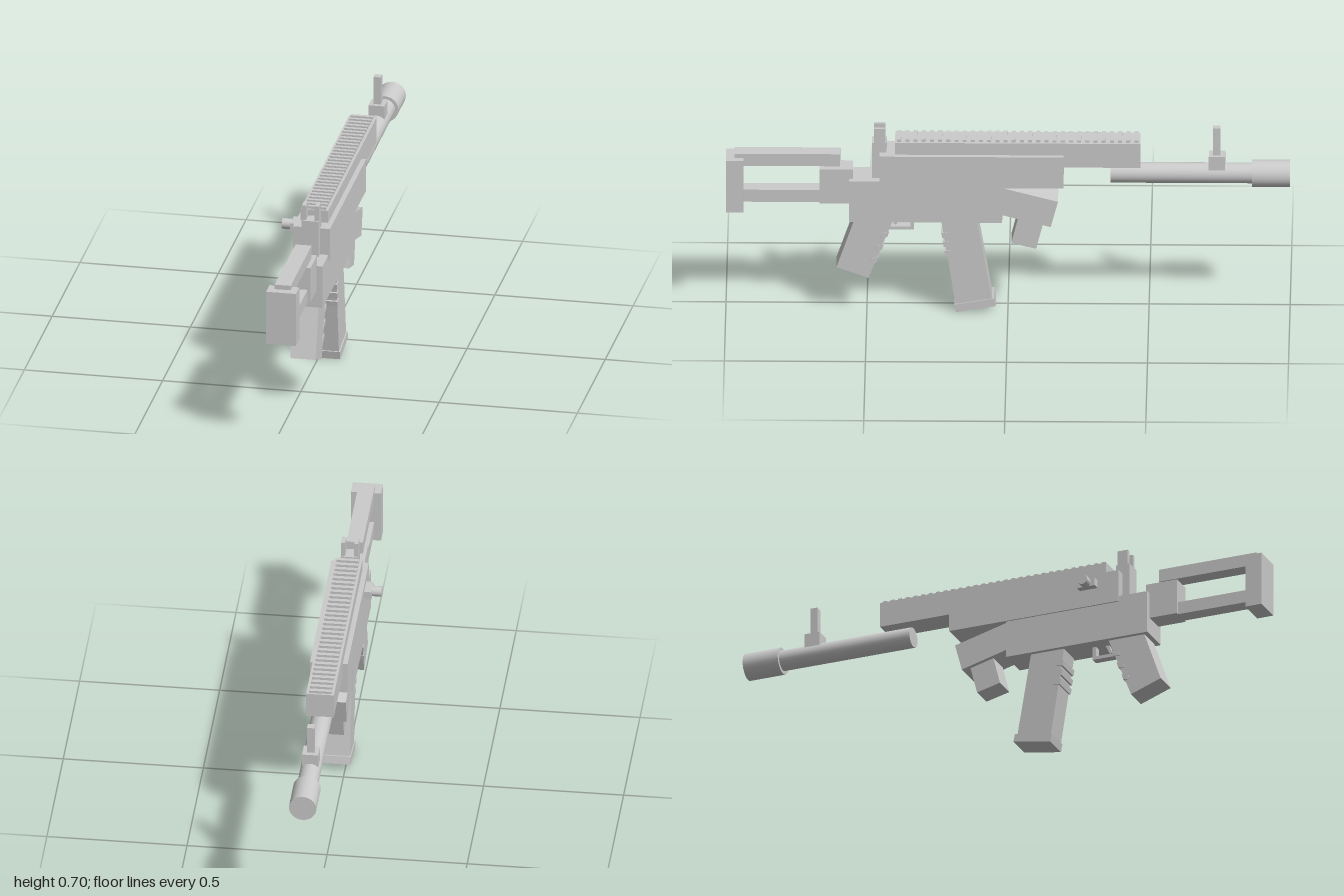
import * as THREE from 'three';

const CX = 0.029; // centre plane of the body

export function createModel() {
  const root = new THREE.Group();
  const mat = new THREE.MeshStandardMaterial({ color: 0xcccccc });

  const add = (name, geo, parent = root) => {
    const m = new THREE.Mesh(geo, mat);
    m.name = name;
    parent.add(m);
    return m;
  };
  const group = (name) => {
    const g = new THREE.Group();
    g.name = name;
    root.add(g);
    return g;
  };
  // Box from its limits on each axis
  const box = (name, [x0, x1], [y0, y1], [z0, z1], parent) => {
    const g = new THREE.BoxGeometry(x1 - x0, y1 - y0, z1 - z0);
    g.translate((x0 + x1) / 2, (y0 + y1) / 2, (z0 + z1) / 2);
    return add(name, g, parent);
  };
  // Side outline in (z, y), extruded across x
  const slab = (name, pts, [x0, x1], parent) => {
    const shape = new THREE.Shape(pts.map(([z, y]) => new THREE.Vector2(-z, y)));
    const g = new THREE.ExtrudeGeometry(shape, { depth: x1 - x0, bevelEnabled: false });
    g.rotateY(Math.PI / 2).translate(x0, 0, 0);
    return add(name, g, parent);
  };
  // Cylinder lying along z
  const rod = (name, r, y, z0, z1, parent) => {
    const g = new THREE.CylinderGeometry(r, r, z1 - z0, 24);
    g.rotateX(Math.PI / 2).translate(CX, y, (z0 + z1) / 2);
    return add(name, g, parent);
  };
  const wide = (w) => [CX - w / 2, CX + w / 2];

  // Receivers
  box('lowerReceiver', wide(0.123), [0.355, 0.514], [0.02, 0.563]);
  box('upperReceiver', wide(0.134), [0.493, 0.614], [-0.197, 0.455]);

  // Top rail with cross teeth
  const rail = group('topRail');
  box('railBody', wide(0.099), [0.567, 0.66], [-0.47, 0.4], rail);
  const teeth = 30, pitch = 0.87 / teeth;
  for (let i = 0; i < teeth; i++) {
    const z = -0.47 + (i + 0.25) * pitch;
    box('railTooth', wide(0.08), [0.655, 0.669], [z, z + pitch * 0.5], rail);
  }

  // Open-frame stock
  const stock = group('stock');
  box('stockConnector', wide(0.08), [0.418, 0.55], [0.55, 0.668], stock);
  box('stockLowerStrut', wide(0.058), [0.418, 0.465], [0.65, 0.95], stock);
  box('stockUpperStrut', wide(0.058), [0.558, 0.605], [0.595, 0.97], stock);
  box('buttPlate', wide(0.108), [0.388, 0.588], [0.938, 1], stock);

  // Barrel, muzzle and front sight
  const barrel = group('barrel');
  rod('barrelTube', 0.037, 0.527, -0.88, -0.363, barrel);
  rod('muzzle', 0.049, 0.526, -1, -0.865, barrel);
  box('frontSightBase', wide(0.058), [0.54, 0.601], [-0.77, -0.712], barrel);
  box('frontSightPost', wide(0.026), [0.59, 0.705], [-0.754, -0.727], barrel);

  // Rear sight: block with two prongs
  const sight = group('rearSight');
  box('rearSightBase', wide(0.062), [0.5, 0.65], [0.45, 0.482], sight);
  box('rearSightHead', wide(0.062), [0.6, 0.65], [0.43, 0.48], sight);
  for (const s of [-1, 1]) {
    const x = CX + s * 0.0235;
    box('rearSightProng', [x - 0.0075, x + 0.0075], [0.64, 0.705], [0.435, 0.475], sight);
  }

  // Sloping handguard and short foregrip
  slab('handguard', [[0.06, 0.5], [-0.178, 0.437], [-0.152, 0.338], [0.06, 0.395]], wide(0.117));
  slab('foregrip', [[-0.045, 0.4], [-0.012, 0.268], [-0.1, 0.246], [-0.134, 0.38]], wide(0.085));

  // Pistol grip with finger ridges down its front edge
  const grip = group('pistolGrip');
  slab('gripBody', [[0.54, 0.37], [0.608, 0.172], [0.494, 0.13], [0.402, 0.37]], wide(0.091), grip);
  for (const y of [0.3, 0.25, 0.2]) {
    const z = 0.402 + (0.37 - y) * 0.383;
    slab('gripRidge', [[z + 0.016, y + 0.008], [z - 0.008, y + 0.012],
      [z - 0.002, y - 0.008], [z + 0.022, y - 0.01]], wide(0.097), grip);
  }

  // Tilted magazine with base plate and rear ribs
  const mag = group('magazine');
  slab('magazineBody', [[0.24, 0.38], [0.184, 0.02], [0.055, 0.04], [0.113, 0.38]], wide(0.091), mag);
  slab('magazineBase', [[0.19, 0.03], [0.184, 0], [0.043, 0.025], [0.049, 0.054]], wide(0.099), mag);
  for (const y of [0.3, 0.265, 0.23]) {
    const z = 0.24 - (0.38 - y) * 0.156;
    slab('magazineRib', [[z + 0.009, y + 0.008], [z + 0.005, y - 0.012],
      [z - 0.02, y - 0.008], [z - 0.016, y + 0.012]], wide(0.097), mag);
  }

  // Trigger and guard
  const trigger = group('triggerGroup');
  box('guardBottom', wide(0.03), [0.306, 0.318], [0.335, 0.43], trigger);
  box('guardFront', wide(0.03), [0.306, 0.36], [0.333, 0.346], trigger);
  slab('trigger', [[0.392, 0.36], [0.405, 0.325], [0.396, 0.322], [0.378, 0.36]], wide(0.018), trigger);

  // Charging handle on the right side
  const handle = group('chargingHandle');
  box('handleStem', [-0.064, -0.03], [0.558, 0.589], [0.306, 0.374], handle);
  const knob = new THREE.CylinderGeometry(0.019, 0.019, 0.036, 16);
  knob.rotateZ(Math.PI / 2).translate(-0.08, 0.573, 0.34);
  add('handleKnob', knob, handle);

  return root;
}
